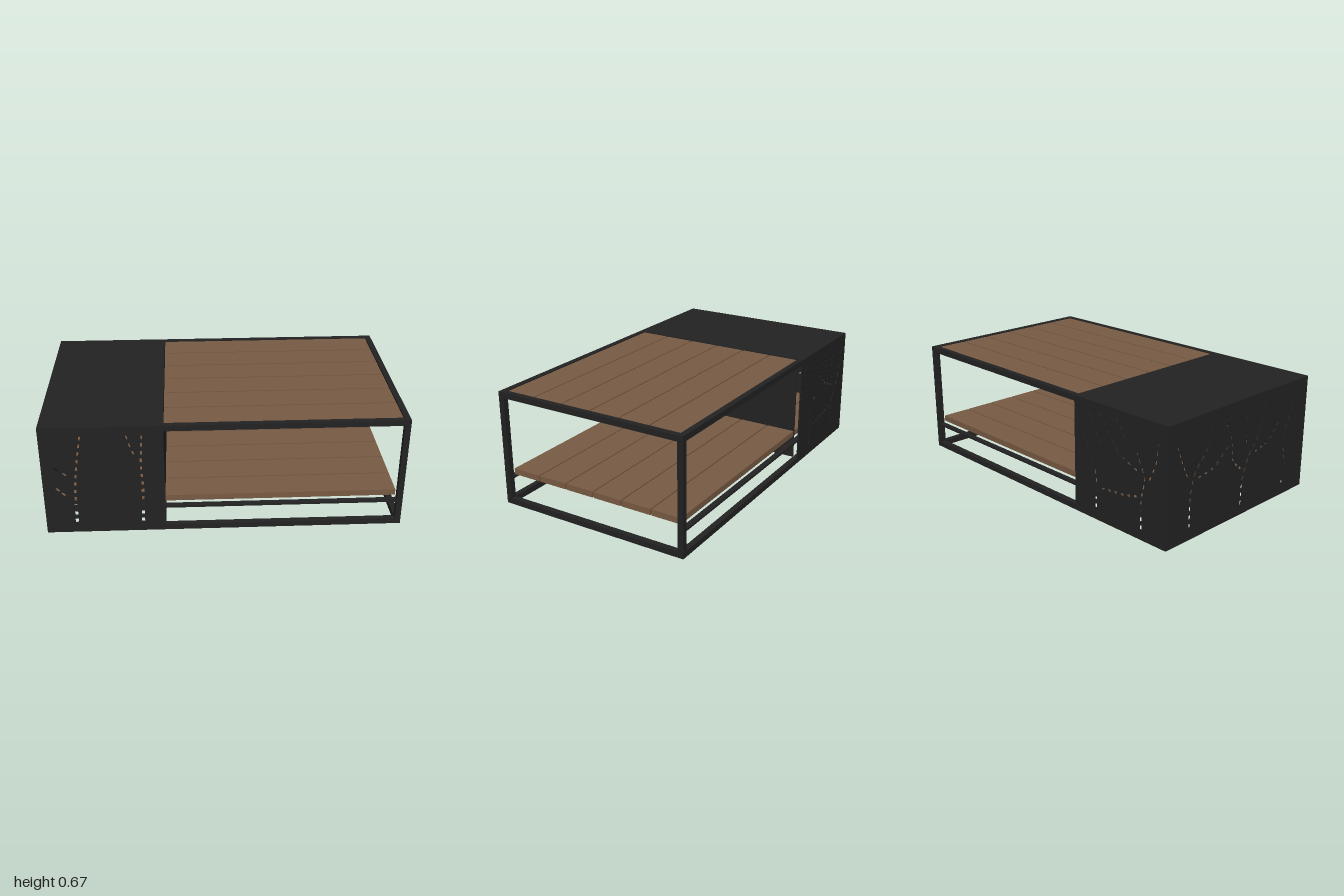
import * as THREE from 'three';

const X = 1, Z = 0.583, H = 0.667; // half length, half depth, height
const T = 0.033;                   // frame tube
const SPLIT = -0.333;              // inner end of the metal cabinet
const SHEET = 0.008;               // sheet metal thickness

const metal = new THREE.MeshStandardMaterial({ color: 0x222222 });
metal.name = 'blackMetal';
const wood = new THREE.MeshStandardMaterial({ color: 0x785b44 });
wood.name = 'brownWood';

// Box given by its limits on each axis
function box(parent, name, mat, x0, x1, y0, y1, z0, z1) {
  const mesh = new THREE.Mesh(new THREE.BoxGeometry(x1 - x0, y1 - y0, z1 - z0), mat);
  mesh.position.set((x0 + x1) / 2, (y0 + y1) / 2, (z0 + z1) / 2);
  mesh.name = name;
  parent.add(mesh);
}

// Six planks side by side with narrow gaps
function planks(name, x0, x1, y0, y1) {
  const group = new THREE.Group();
  group.name = name;
  const pitch = 1.1 / 6, gap = 0.004;
  for (let i = 0; i < 6; i++) {
    const z = -0.55 + i * pitch;
    box(group, 'plank', wood, x0, x1, y0, y1, z + gap, z + pitch - gap);
  }
  return group;
}

// Sheet with tree branches cut out as rows of short dashes
function treePanel(name, width, branches) {
  const shape = new THREE.Shape([[0, 0], [width, 0], [width, H], [0, H]].map(p => new THREE.Vector2(...p)));
  const used = [];
  for (const points of branches) {
    const curve = new THREE.CatmullRomCurve3(points.map(([u, v]) => new THREE.Vector3(u, v, 0)));
    const count = Math.max(2, Math.round(curve.getLength() / 0.048));
    for (let i = 0; i <= count; i++) {
      const c = curve.getPointAt(i / count), t = curve.getTangentAt(i / count);
      if (used.some(p => p.distanceTo(c) < 0.034)) continue;
      used.push(c);
      const w = 0.010 - 0.006 * Math.min(1, c.y / H), l = 0.013;
      const corners = [[-l, -w], [-l, w], [l, w], [l, -w]].map(([a, b]) =>
        new THREE.Vector2(c.x + a * t.x - b * t.y, c.y + a * t.y + b * t.x));
      shape.holes.push(new THREE.Path(corners));
    }
  }
  const geo = new THREE.ExtrudeGeometry(shape, { depth: SHEET, bevelEnabled: false });
  const mesh = new THREE.Mesh(geo, metal);
  mesh.name = name;
  return mesh;
}

export function createModel() {
  const table = new THREE.Group();
  table.name = 'coffeeTable';

  // Square tube frame
  const frame = new THREE.Group();
  frame.name = 'frame';
  table.add(frame);
  for (const s of [-1, 1]) {
    const za = s < 0 ? -Z : Z - T, xa = s < 0 ? -X : X - T;
    for (const y of [0, H - T]) {
      box(frame, 'longRail', metal, -X, X, y, y + T, za, za + T);
      box(frame, 'endRail', metal, xa, xa + T, y, y + T, -Z + T, Z - T);
    }
    for (const x of [-X, X - T]) box(frame, 'post', metal, x, x + T, T, H - T, za, za + T);
    // Slim bar below the shelf
    box(frame, 'shelfBar', metal, -X + T, X - T, 0.146, 0.158, s * 0.5665 - 0.0165, s * 0.5665 + 0.0165);
  }

  // Wooden surfaces
  table.add(planks('tableTop', SPLIT + 0.003, 0.963, 0.631, 0.664));
  table.add(planks('shelf', -0.963, 0.963, 0.17, 0.205));

  // Metal cabinet
  const cabinet = new THREE.Group();
  cabinet.name = 'cabinet';
  table.add(cabinet);
  box(cabinet, 'cabinetTop', metal, -X, SPLIT, H - SHEET, H, -Z, Z);
  box(cabinet, 'divider', metal, SPLIT - SHEET, SPLIT, 0.033, H - SHEET, -0.55, 0.55);

  const width = SPLIT + X;
  const front = treePanel('frontPanel', width, [
    [[0.17, 0.075], [0.175, 0.28], [0.19, 0.42], [0.22, 0.6]],
    [[0.15, 0.33], [0.13, 0.37], [0.08, 0.41]],
    [[0.14, 0.22], [0.11, 0.25], [0.08, 0.28]],
    [[0.54, 0.07], [0.545, 0.3], [0.54, 0.42], [0.55, 0.6]],
    [[0.52, 0.46], [0.49, 0.53], [0.47, 0.6]],
  ]);
  front.position.set(-X, 0, Z - SHEET);
  cabinet.add(front);

  const back = treePanel('backPanel', width, [
    [[0.49, 0.07], [0.49, 0.22], [0.51, 0.35], [0.46, 0.48], [0.47, 0.61]],
    [[0.45, 0.23], [0.36, 0.21], [0.25, 0.2], [0.17, 0.18]],
    [[0.55, 0.36], [0.59, 0.46], [0.6, 0.56]],
    [[0.45, 0.38], [0.36, 0.42], [0.28, 0.5], [0.2, 0.61]],
    [[0.16, 0.08], [0.16, 0.25], [0.12, 0.38], [0.06, 0.5], [0.05, 0.6]],
    [[0.17, 0.33], [0.22, 0.38], [0.18, 0.48], [0.12, 0.59]],
    [[0.4, 0.46], [0.37, 0.54], [0.32, 0.61]],
  ]);
  back.rotation.y = Math.PI;
  back.position.set(SPLIT, 0, -Z + SHEET);
  cabinet.add(back);

  const end = treePanel('endPanel', 2 * Z, [
    [[0.18, 0.08], [0.18, 0.22], [0.21, 0.36], [0.3, 0.47], [0.34, 0.6]],
    [[0.17, 0.33], [0.12, 0.43], [0.08, 0.53]],
    [[0.25, 0.33], [0.36, 0.35], [0.46, 0.43]],
    [[0.6, 0.07], [0.61, 0.22], [0.66, 0.34], [0.74, 0.45], [0.77, 0.6]],
    [[0.58, 0.28], [0.52, 0.34], [0.5, 0.46], [0.44, 0.6]],
    [[0.72, 0.34], [0.82, 0.37], [0.9, 0.45]],
    [[0.98, 0.08], [0.99, 0.22], [0.96, 0.36], [1.02, 0.48], [1.05, 0.6]],
    [[0.63, 0.42], [0.61, 0.5], [0.63, 0.6]],
  ]);
  end.rotation.y = -Math.PI / 2;
  end.position.set(-X + SHEET, 0, -Z);
  cabinet.add(end);

  return table;
}
